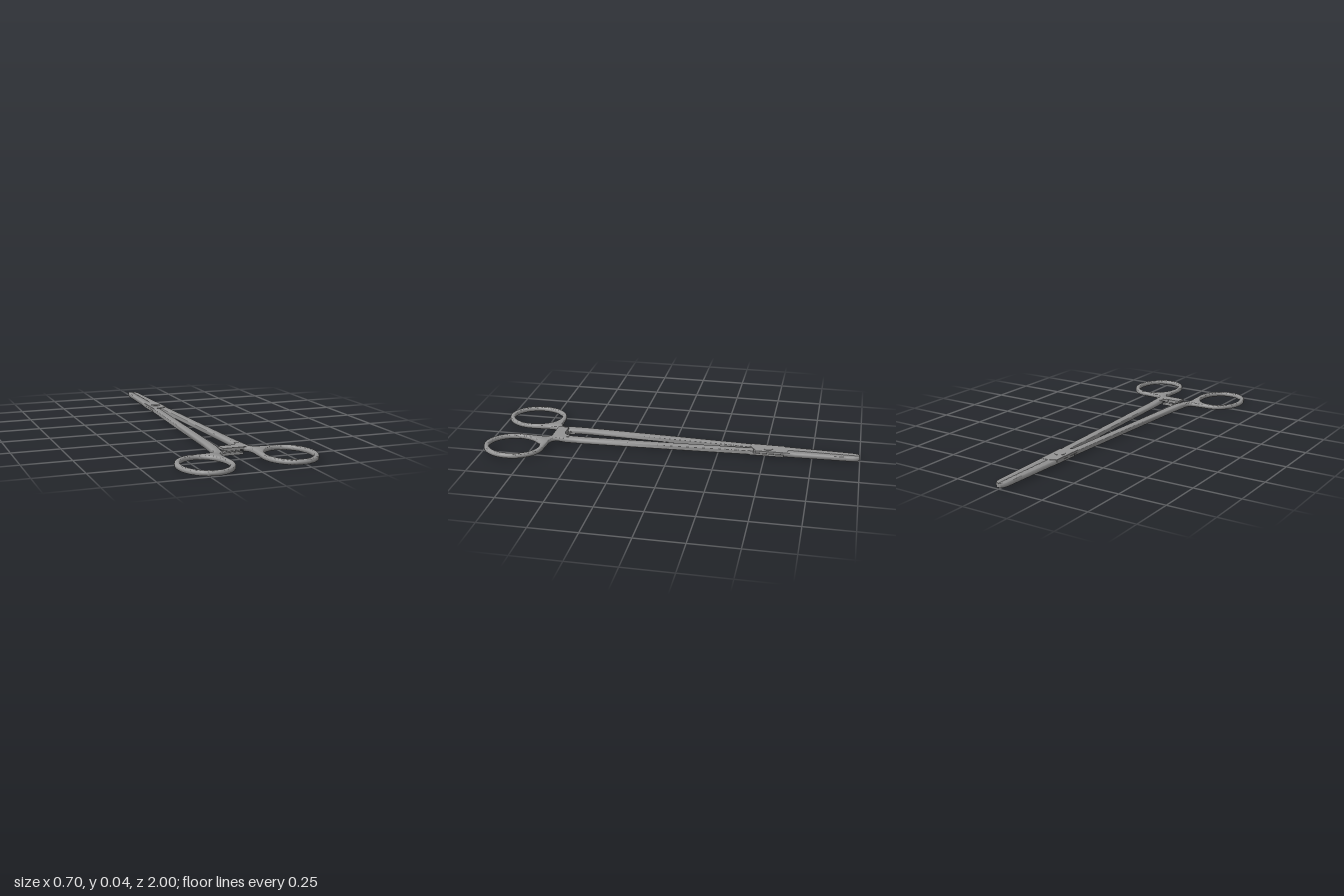
import * as THREE from 'three';
import { toCreasedNormals } from 'three/addons/utils/BufferGeometryUtils.js';

const steel = new THREE.MeshStandardMaterial({ color: 0x949494 });
const MID = 0.019; // height of the plane the two halves share

function part(name, geometry, crease = 0.6) {
  const mesh = new THREE.Mesh(toCreasedNormals(geometry, crease), steel);
  mesh.name = name;
  return mesh;
}

// Chamfered bar through stations [z, xMin, xMax, yMin, yMax, chamfer]
function bar(stations) {
  const pos = [], idx = [], n = 8;
  for (const [z, a, b, lo, hi, c] of stations) {
    const d = c * 0.7;
    for (const [x, y] of [[a + c, lo], [b - c, lo], [b, lo + d], [b, hi - d],
      [b - c, hi], [a + c, hi], [a, hi - d], [a, lo + d]]) pos.push(x, y, z);
  }
  const last = (stations.length - 1) * n;
  for (let i = 0; i < last; i += n)
    for (let j = 0; j < n; j++) {
      const k = (j + 1) % n;
      idx.push(i + j, i + k, i + n + k, i + j, i + n + k, i + n + j);
    }
  for (let j = 1; j < n - 1; j++) idx.push(0, j + 1, j, last, last + j, last + j + 1);
  const g = new THREE.BufferGeometry();
  g.setAttribute('position', new THREE.Float32BufferAttribute(pos, 3));
  g.setIndex(idx);
  return g;
}

// Plate from an outline in x and z, between two heights, with rounded edges
function plate(shape, lo, hi, round = 0, segments = 3) {
  const g = new THREE.ExtrudeGeometry(shape, {
    depth: hi - lo - 2 * round, curveSegments: 40, bevelEnabled: round > 0,
    bevelSize: round, bevelThickness: round, bevelOffset: -round, bevelSegments: segments,
  });
  return g.rotateX(Math.PI / 2).translate(0, hi - round, 0);
}

const outline = (points) => new THREE.Shape(points.map(([x, z]) => new THREE.Vector2(x, z)));

// One half: ring on -x, crossing over at the joint to the jaw on +x
function createHalf(side) {
  const half = new THREE.Group();
  const cx = -0.212, cz = 0.835;

  // Finger ring with the flared neck that joins it to the shank
  const ring = new THREE.Shape();
  ring.moveTo(-0.091, 0.595);
  ring.lineTo(-0.092, 0.625);
  ring.quadraticCurveTo(-0.096, 0.664, -0.135, 0.667);
  ring.lineTo(cx, cz - 0.164);
  ring.absellipse(cx, cz, 0.138, 0.164, -Math.PI / 2, 0, true);
  ring.lineTo(-0.078, 0.76);
  ring.lineTo(-0.08, 0.73);
  ring.quadraticCurveTo(-0.08, 0.668, -0.054, 0.667);
  ring.lineTo(-0.046, 0.595);
  ring.holes.push(new THREE.Path().absellipse(cx, cz, 0.112, 0.138, 0, Math.PI * 2));
  half.add(part('fingerRing', plate(ring, -0.019, 0.0055, 0.008, 5), 0.8));

  // Shank, sinking toward the ring
  half.add(part('shank', bar([
    [-0.44, -0.044, -0.001, -0.0115, 0.0115, 0.003],
    [-0.40, -0.046, -0.006, -0.0125, 0.0125, 0.004],
    [0, -0.065, -0.023, -0.0135, 0.0125, 0.005],
    [0.5, -0.087, -0.043, -0.0155, 0.0115, 0.005],
    [0.585, -0.091, -0.046, -0.0175, 0.0095, 0.005],
    [0.63, -0.091, -0.052, -0.0185, 0.005, 0.005],
  ]), 1));

  // Upper half of the box joint, with slanted shoulders
  half.add(part('jointPlate', plate(outline([
    [-0.045, -0.42], [-0.043, -0.6], [-0.03, -0.606], [0, -0.622], [0.04, -0.622],
    [0.044, -0.452], [0.03, -0.446], [0.006, -0.43], [-0.006, -0.42],
  ]), 0, 0.013, 0.0008, 1), 0.4));

  // Jaw with a serrated gripping face
  const jaw = [[-0.6, 0.0006, 0.041, -0.012, 0.012, 0.002]];
  const steps = 60;
  for (let i = 0; i <= steps; i++) {
    const z = -0.66 - 0.3 * i / steps;
    const tooth = side * (i === 0 || i === steps ? 0 : i % 2 ? 0.0018 : -0.0018);
    jaw.push([z, 0.0006 + tooth, 0.039 - 0.01 * i / steps, -0.012, 0.012, 0.002]);
  }
  for (const [z, w] of [[-0.975, 0.027], [-0.987, 0.0225], [-0.995, 0.017], [-1, 0.009]])
    jaw.push([z, 0.0006, w, -0.0115, 0.0115, 0.002]);
  half.add(part('jaw', bar(jaw.reverse()), 1));

  // Ratchet: sawtooth bar reaching across to lock with the other half
  const teeth = new THREE.Shape();
  const pitch = 0.025;
  teeth.moveTo(-0.075, -0.019);
  teeth.lineTo(0.054, -0.019);
  teeth.lineTo(0.054, -0.0075);
  for (let i = 2; i >= 0; i--) {
    const x = pitch * (i - 1.5) + 0.0005;
    teeth.lineTo(x + pitch, -0.0065);
    teeth.lineTo(x, 0.0035);
  }
  teeth.lineTo(-0.037, -0.0065);
  teeth.lineTo(-0.075, -0.0065);
  const ratchet = new THREE.ExtrudeGeometry(teeth, { depth: 0.06, bevelEnabled: false });
  half.add(part('ratchetBar', ratchet.translate(0, 0, 0.606), 0.3));

  // Rounded web between ratchet and shank
  const web = new THREE.Shape();
  web.moveTo(-0.07, 0.57);
  web.lineTo(-0.07, 0.664);
  web.lineTo(-0.015, 0.664);
  web.lineTo(-0.015, 0.605);
  web.quadraticCurveTo(-0.045, 0.602, -0.0455, 0.57);
  half.add(part('ratchetWeb', plate(web, -0.0185, -0.0075), 0.6));

  return half;
}

export function createModel() {
  const model = new THREE.Group();
  model.name = 'lockingForceps';

  // The second half is the first turned over about the long axis
  [1, -1].forEach((side, i) => {
    const half = createHalf(side);
    half.name = i ? 'leftHalf' : 'rightHalf';
    half.rotation.z = i * Math.PI;
    half.position.y = MID;
    model.add(half);
  });

  // Pivot pin through the joint
  const pin = part('pivotPin', new THREE.CylinderGeometry(0.027, 0.027, 0.03, 32));
  pin.position.set(0, MID, -0.515);
  model.add(pin);

  return model;
}
